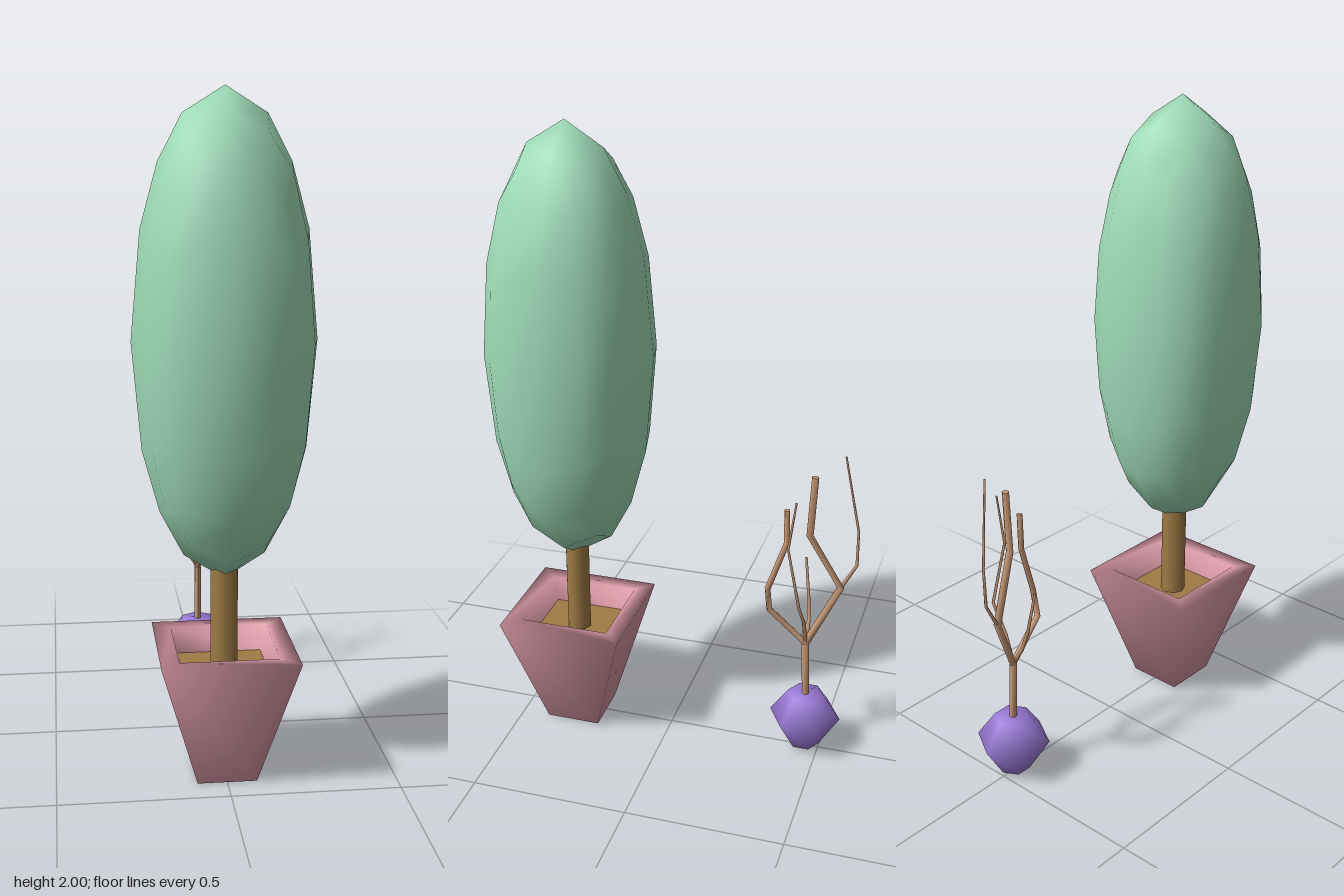
import * as THREE from 'three';
import { mergeVertices } from 'three/addons/utils/BufferGeometryUtils.js';

const material = (name, color) => {
  const m = new THREE.MeshStandardMaterial({ color });
  m.name = name;
  return m;
};

const part = (parent, name, geometry, mat, x = 0, y = 0, z = 0) => {
  const mesh = new THREE.Mesh(geometry, mat);
  mesh.name = name;
  mesh.position.set(x, y, z);
  parent.add(mesh);
  return mesh;
};

// Turned profile with few sides and smooth normals
const turned = (points, sides, start = 0) =>
  new THREE.LatheGeometry(points.map(([r, y]) => new THREE.Vector2(r, y)), sides, start);

// Ellipsoid made by rounding a subdivided box
function roundedCrown(rx, ry, rz) {
  let g = new THREE.BoxGeometry(2, 2, 2, 4, 4, 4);
  g.deleteAttribute('normal');
  g.deleteAttribute('uv');
  g = mergeVertices(g);
  const p = g.attributes.position, v = new THREE.Vector3();
  for (let i = 0; i < p.count; i++) {
    v.fromBufferAttribute(p, i).normalize();
    p.setXYZ(i, v.x * rx, v.y * ry, v.z * rz);
  }
  g.computeVertexNormals();
  return g;
}

// Tapered six-sided twig whose rings follow a bent path
function twig(path, r0, r1) {
  const pts = path.map((a) => new THREE.Vector3(...a));
  const n = pts.length - 1;
  const g = new THREE.CylinderGeometry(1, 1, 1, 6, n);
  const p = g.attributes.position, v = new THREE.Vector3();
  const up = new THREE.Vector3(0, 1, 0), q = new THREE.Quaternion();
  for (let i = 0; i < p.count; i++) {
    v.fromBufferAttribute(p, i);
    const k = Math.round((v.y + 0.5) * n);
    const dir = new THREE.Vector3();
    if (k > 0) dir.add(pts[k].clone().sub(pts[k - 1]).normalize());
    if (k < n) dir.add(pts[k + 1].clone().sub(pts[k]).normalize());
    q.setFromUnitVectors(up, dir.normalize());
    v.y = 0;
    v.multiplyScalar(r0 + (r1 - r0) * k / n).applyQuaternion(q).add(pts[k]);
    p.setXYZ(i, v.x, v.y, v.z);
  }
  g.computeVertexNormals();
  return g;
}

export function createModel() {
  const model = new THREE.Group();
  model.name = 'pottedPlants';
  const leaf = material('leaf green', 0xa0dcb8);
  const pink = material('pot pink', 0xdb9aa8);
  const brown = material('trunk brown', 0xa07c45);
  const violet = material('pot violet', 0x9b7bd8);
  const bark = material('twig tan', 0xc99a76);

  // Large square pot with a tall rounded tree
  const tree = new THREE.Group();
  tree.name = 'tree';
  tree.position.z = 0.322;
  model.add(tree);
  const d = Math.SQRT2;
  part(tree, 'squarePot', turned([
    [0, 0], [0.088 * d, 0], [0.2 * d, 0.4], [0.145 * d, 0.4], [0.125 * d, 0.32],
  ], 4, Math.PI / 4), pink);
  const soil = part(tree, 'soil', new THREE.PlaneGeometry(0.256, 0.256), brown, 0, 0.325, 0);
  soil.rotation.x = -Math.PI / 2;
  part(tree, 'trunk', new THREE.CylinderGeometry(0.04, 0.04, 0.38, 8), brown, 0, 0.5, 0);
  part(tree, 'crown', roundedCrown(0.265, 0.7, 0.265), leaf, 0, 1.3, 0);

  // Small six-sided pot with bare twigs
  const shrub = new THREE.Group();
  shrub.name = 'shrub';
  model.add(shrub);
  part(shrub, 'hexagonPot', turned([
    [0, 0.015], [0.05, 0.015], [0.115, 0.122], [0.058, 0.203], [0, 0.203],
  ], 6), violet, 0, 0, -0.452);

  const fork = [0, 0.39, -0.444];
  const elbow = [-0.04, 0.585, -0.54];
  const twigs = [
    ['stem', 0.012, 0.012, [[0, 0.19, -0.452], fork]],
    ['mainBranch', 0.012, 0.011, [fork, elbow, [0, 0.775, -0.443], [0, 0.975, -0.452]]],
    ['backTwig', 0.006, 0.003, [elbow, [-0.045, 0.67, -0.586], [-0.04, 0.79, -0.586], [-0.01, 1.05, -0.54]]],
    ['frontBranch', 0.01, 0.009, [fork, [0.01, 0.5, -0.325], [0.03, 0.585, -0.322], [0.02, 0.75, -0.376], [0.025, 0.865, -0.374]]],
    ['leftTwig', 0.007, 0.003, [fork, [0.03, 0.48, -0.442], [0.088, 0.565, -0.435], [0.075, 0.757, -0.392], [0.08, 0.92, -0.413]]],
    ['rightTwig', 0.007, 0.004, [fork, [-0.04, 0.455, -0.444], [-0.06, 0.52, -0.437], [-0.078, 0.655, -0.42]]],
  ];
  for (const [name, r0, r1, path] of twigs) part(shrub, name, twig(path, r0, r1), bark);

  return model;
}
